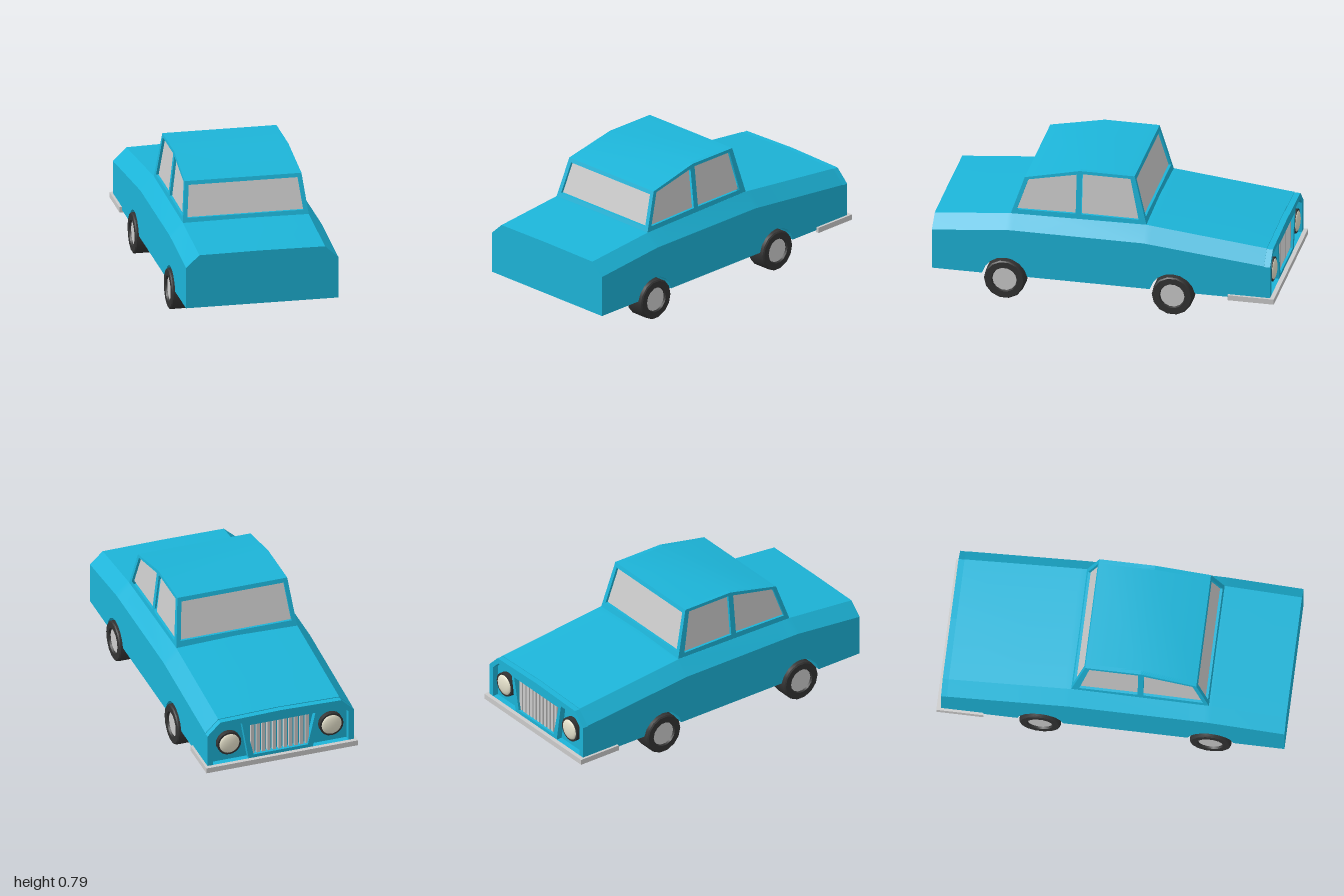
import * as THREE from 'three';
import { toCreasedNormals } from 'three/addons/utils/BufferGeometryUtils.js';

const mat = (color) => new THREE.MeshStandardMaterial({ color });
const paint = mat(0x1cb4d8), grey = mat(0xcccccc), rubber = mat(0x333333), lampGlass = mat(0xe6e2cc);

const HALF = 0.445, TOP = 0.367, FLOOR = 0.147, NOSE = -0.975;
const WHEEL_Y = 0.122, WHEEL_R = 0.119, AXLES = [0.575, -0.405];

function add(parent, name, geometry, material) {
  const mesh = new THREE.Mesh(geometry, material);
  mesh.name = name;
  parent.add(mesh);
  return mesh;
}
const box = (w, h, d, x, y, z) => new THREE.BoxGeometry(w, h, d).translate(x, y, z);
const toShape = (pts) => new THREE.Shape(pts.map(([a, b]) => new THREE.Vector2(a, b)));

// Piecewise linear lookup in rows [z, ...values]
function sample(rows, z) {
  let i = 0;
  while (i < rows.length - 2 && z < rows[i + 1][0]) i++;
  const [p, q] = [rows[i], rows[i + 1]];
  const t = (z - p[0]) / (q[0] - p[0]);
  return p.map((v, k) => v + (q[k] - v) * t);
}

// Body lines along z: shoulder height, deck edge height, crown of the deck
const BODY = [
  [1, 0.39, 0.462, 0.003], [0.555, 0.435, 0.505, 0.003],
  [-0.235, 0.435, 0.516, 0.009], [NOSE, 0.36, 0.437, 0.009],
];
function section(z, floor) {
  const [, shoulder, deck, crown] = sample(BODY, z);
  return [[-HALF, floor], [HALF, floor], [HALF, shoulder], [TOP, deck],
    [0, deck + crown], [-TOP, deck], [-HALF, shoulder]];
}

// Lower body: sections lofted along z, with the floor raised over each axle
function bodyGeometry() {
  const stations = [1, 0.555, -0.235, NOSE + 0.035].map((z) => [z, FLOOR]);
  for (const axle of AXLES) {
    for (let a = 10; a <= 170; a += 20) {
      const r = THREE.MathUtils.degToRad(a);
      stations.push([axle + 0.134 * Math.cos(r), Math.max(FLOOR, WHEEL_Y + 0.134 * Math.sin(r))]);
    }
  }
  // The deck break above an arch takes its floor from the arch curve
  for (const s of stations) {
    for (const axle of AXLES) {
      const d = Math.abs(s[0] - axle);
      if (d < 0.13) s[1] = Math.max(FLOOR, WHEEL_Y + Math.sqrt(0.134 ** 2 - d * d));
    }
  }
  stations.sort((p, q) => q[0] - p[0]);
  const pos = [], idx = [], n = 7, last = stations.length - 1;
  for (const [z, floor] of stations) for (const [x, y] of section(z, floor)) pos.push(x, y, z);
  for (let s = 0; s < last; s++) {
    for (let k = 0; k < n; k++) {
      const a = s * n + k, b = s * n + (k + 1) % n;
      idx.push(a, a + n, b, b, a + n, b + n);
    }
  }
  for (let k = 1; k < n - 1; k++) {
    idx.push(0, k, k + 1);
    idx.push(last * n, last * n + k + 1, last * n + k);
  }
  const g = new THREE.BufferGeometry();
  g.setAttribute('position', new THREE.Float32BufferAttribute(pos, 3));
  g.setIndex(idx);
  return toCreasedNormals(g, 0.6);
}

// Moves every vertex (across, up, outward) to its place in the model
function place(geometry, map) {
  const p = geometry.attributes.position;
  for (let i = 0; i < p.count; i++) p.setXYZ(i, ...map(p.getX(i), p.getY(i), p.getZ(i)));
  geometry.computeVertexNormals();
  return geometry;
}

// Thick panel with openings
function frame(outline, holes, depth, map) {
  const shape = toShape(outline);
  shape.holes = holes.map(toShape);
  const g = new THREE.ExtrudeGeometry(shape, { depth, bevelEnabled: false }).translate(0, 0, -depth);
  return place(g, map);
}

// Panel with a recessed pane in each opening
function glazed(parent, name, outline, holes, map) {
  add(parent, name + 'Frame', frame(outline, holes, 0.025, map), paint);
  for (const hole of holes) {
    add(parent, name + 'Glass', place(new THREE.ShapeGeometry(toShape(hole)).translate(0, 0, -0.015), map), grey);
  }
}

function buildCabin() {
  const cabin = new THREE.Group();
  cabin.name = 'cabin';
  const halfWidth = (y) => TOP - 0.116 * (y - 0.507);
  const rearZ = (y) => 0.555 - 0.336 * (y - 0.507);
  const noseZ = (y) => -0.235 + 0.268 * (y - 0.52);
  const base = 0.5;

  // Side panels, two windows each
  const side = [[rearZ(base), base], [rearZ(0.73), 0.73], [0.16, 0.8], [noseZ(0.8), 0.8], [noseZ(base), base]];
  const windows = [
    [[0.522, 0.533], [0.465, 0.718], [0.178, 0.776], [0.178, 0.54]],
    [[0.145, 0.54], [0.145, 0.782], [-0.136, 0.782], [-0.19, 0.54]],
  ];
  for (const s of [1, -1]) {
    const turn = (pts) => pts.map(([z, y]) => [-s * z, y]);
    glazed(cabin, s > 0 ? 'leftSide' : 'rightSide', turn(side), windows.map(turn),
      (a, y, c) => [s * (halfWidth(y) + c), y, -s * a]);
  }

  // End panels, one wide window each
  const quad = (y0, y1, inset) => [[-1, y0], [1, y0], [1, y1], [-1, y1]]
    .map(([s, y]) => [s * (halfWidth(y) - inset), y]);
  glazed(cabin, 'rearWindow', quad(base, 0.73, 0), [quad(0.53, 0.708, 0.025)],
    (a, y, c) => [a, y, rearZ(y) + c]);
  glazed(cabin, 'windscreen', quad(base, 0.8, 0), [quad(0.552, 0.775, 0.025)],
    (a, y, c) => [-a, y, noseZ(y) - c]);

  // Roof, level then sloping down
  const rows = [[noseZ(0.8), 0.8], [0.16, 0.8], [rearZ(0.73), 0.73]];
  add(cabin, 'roof', place(new THREE.PlaneGeometry(2, 2, 1, 2), (x, row) => {
    const [z, y] = rows[Math.round(1 - row)];
    return [x * halfWidth(y), y, z];
  }), paint);
  return cabin;
}

function buildNose() {
  const nose = new THREE.Group();
  nose.name = 'nose';
  // Surround with lamp pockets and grille opening
  const pocket = [[0.41, 0.165], [0.41, 0.355], [0.36, 0.405], [0.235, 0.405], [0.195, 0.165]];
  const mirrored = pocket.map(([x, y]) => [-x, y]);
  const grille = [[-0.165, 0.185], [0.165, 0.185], [0.21, 0.385], [-0.21, 0.385]];
  add(nose, 'noseSurround', frame(section(NOSE, FLOOR), [pocket, mirrored, grille], 0.036,
    (a, y, c) => [-a, y, NOSE - c]), paint);

  // Grille bars
  for (let i = 0; i < 11; i++) {
    const x = (i - 5) * 0.033;
    add(nose, 'grilleBar', box(0.02, 0.2, 0.022, x, 0.285, NOSE + 0.025), grey);
  }

  // Headlamps with dark rims
  for (const s of [1, -1]) {
    const rim = new THREE.CylinderGeometry(0.072, 0.072, 0.03, 20).rotateX(Math.PI / 2);
    add(nose, 'headlampRim', rim.translate(s * 0.31, 0.285, NOSE + 0.02), rubber);
    const lens = new THREE.SphereGeometry(0.062, 20, 12).scale(1, 1, 0.3);
    add(nose, 'headlamp', lens.translate(s * 0.31, 0.285, NOSE + 0.008), lampGlass);
  }

  // Bumper wrapping round the corners
  add(nose, 'bumper', box(0.92, 0.032, 0.025, 0, 0.149, -0.9875), grey);
  for (const s of [1, -1]) {
    add(nose, 'bumperEnd', box(0.022, 0.032, 0.25, s * 0.449, 0.149, -0.855), grey);
  }
  return nose;
}

function buildWheel() {
  const wheel = new THREE.Group();
  const profile = [[0, -0.058], [WHEEL_R, -0.058], [WHEEL_R, 0.052], [WHEEL_R - 0.007, 0.059],
    [0.076, 0.059], [0.07, 0.045]].map(([r, h]) => new THREE.Vector2(r, h));
  const tyre = toCreasedNormals(new THREE.LatheGeometry(profile, 14), 0.6);
  add(wheel, 'tyre', tyre.rotateZ(-Math.PI / 2), rubber);
  const hub = new THREE.CylinderGeometry(0.073, 0.073, 0.02, 14).rotateZ(-Math.PI / 2);
  add(wheel, 'hub', hub.translate(0.037, 0, 0), grey);
  return wheel;
}

export function createModel() {
  const car = new THREE.Group();
  car.name = 'car';
  add(car, 'body', bodyGeometry(), paint);
  car.add(buildCabin(), buildNose());
  for (const z of AXLES) {
    for (const s of [1, -1]) {
      const wheel = buildWheel();
      wheel.name = (s > 0 ? 'left' : 'right') + (z > 0 ? 'RearWheel' : 'NoseWheel');
      wheel.position.set(s * 0.4, WHEEL_Y, z);
      if (s < 0) wheel.rotation.y = Math.PI;
      car.add(wheel);
    }
  }
  return car;
}
